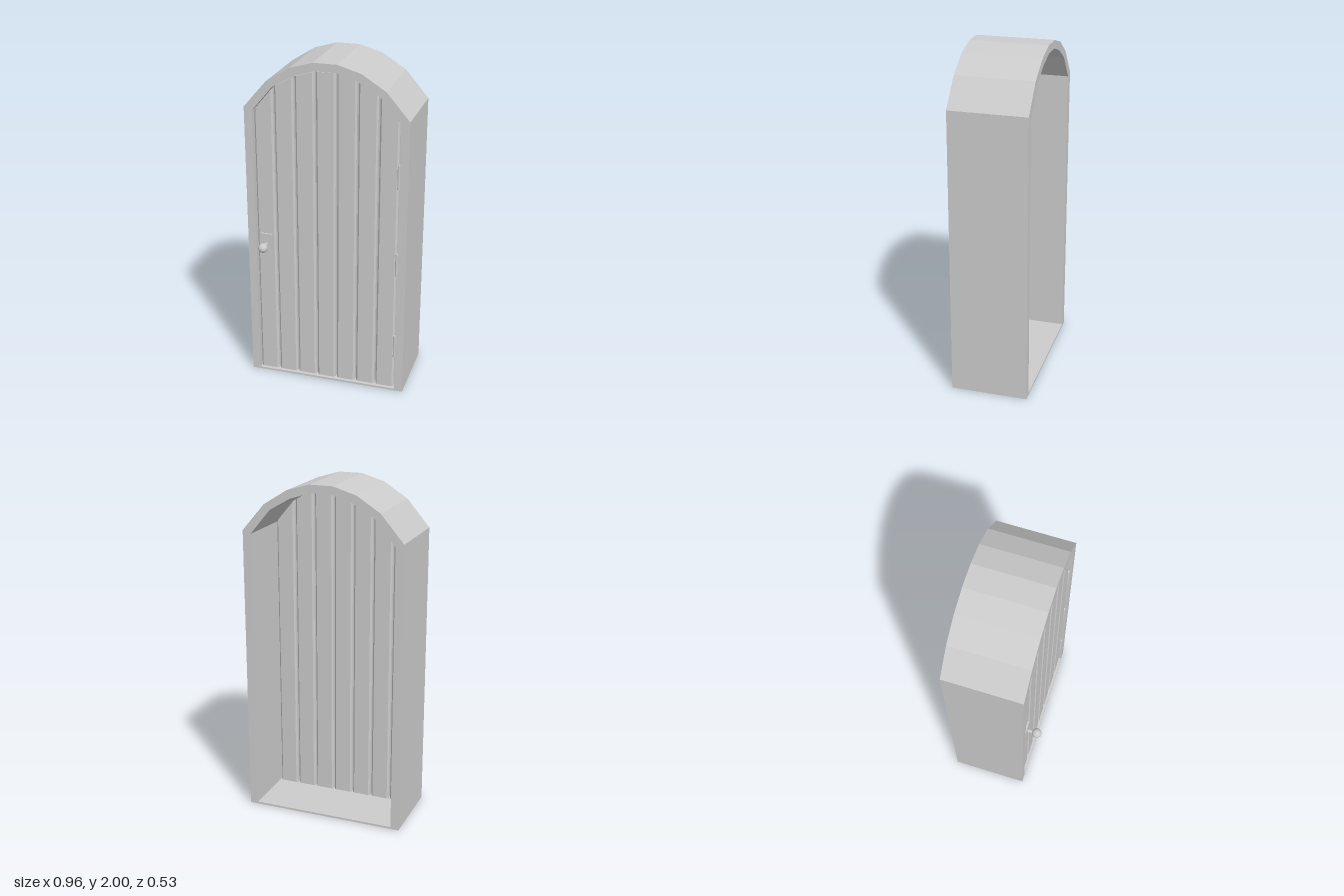
import * as THREE from 'three';

const material = new THREE.MeshStandardMaterial({ color: 0xcccccc, flatShading: true });
const smooth = new THREE.MeshStandardMaterial({ color: 0xcccccc });

const BACK = -0.27, FRONT = 0.185;           // frame depth
const DOOR_BACK = 0.055, DOOR_FRONT = 0.17;  // door leaf depth
const DOOR_MID = (DOOR_BACK + DOOR_FRONT) / 2;

// right half of each arch, from springing to crown
const OUTER = [[0.48, 1.715], [0.345, 1.872], [0.205, 1.96], [0.069, 2.0]];
const INNER = [[0.431, 1.697], [0.309, 1.843], [0.184, 1.915], [0.062, 1.953]];

function add(parent, name, geometry, mat = material) {
  const mesh = new THREE.Mesh(geometry, mat);
  mesh.name = name;
  parent.add(mesh);
  return mesh;
}

// closed arched outline standing on the given floor height
function archPoints(half, floor) {
  const w = half[0][0];
  const left = half.map(([x, y]) => [-x, y]).reverse();
  return [[-w, floor], [w, floor], ...half, ...left].map(([x, y]) => new THREE.Vector2(x, y));
}

function createFrame() {
  const shape = new THREE.Shape(archPoints(OUTER, 0));
  shape.holes.push(new THREE.Path(archPoints(INNER, 0.012)));
  return new THREE.ExtrudeGeometry(shape, { depth: FRONT - BACK, bevelEnabled: false })
    .translate(0, 0, BACK);
}

// height of the arch opening at x
function archHeight(x) {
  const a = Math.abs(x);
  for (let i = 0; i < INNER.length - 1; i++) {
    const [x0, y0] = INNER[i], [x1, y1] = INNER[i + 1];
    if (a >= x1) return y0 + (y1 - y0) * (x0 - a) / (x0 - x1);
  }
  return INNER[INNER.length - 1][1];
}

// chamfered upright board whose top follows the arch
function createPlank(x0, x1) {
  const c = 0.01, f = -DOOR_FRONT, b = -DOOR_BACK;
  const section = new THREE.Shape([
    [x0 + c, f], [x1 - c, f], [x1, f + c], [x1, b - c],
    [x1 - c, b], [x0 + c, b], [x0, b - c], [x0, f + c],
  ].map(([x, y]) => new THREE.Vector2(x, y)));
  const geo = new THREE.ExtrudeGeometry(section, { depth: 1, bevelEnabled: false }).rotateX(-Math.PI / 2);
  // rotated section: shape y becomes -z, extrusion becomes y
  const pos = geo.attributes.position;
  const y0 = archHeight(x0), y1 = archHeight(x1);
  for (let i = 0; i < pos.count; i++) {
    const t = (pos.getX(i) - x0) / (x1 - x0);
    const top = y0 + (y1 - y0) * t - 0.006;
    pos.setY(i, pos.getY(i) > 0.5 ? top : 0.016);
    pos.setZ(i, pos.getZ(i));
  }
  geo.computeVertexNormals();
  return geo;
}

// plate, stem and ball on one face of the door
function createHandle(name) {
  const handle = new THREE.Group();
  handle.name = name;
  const half = (DOOR_FRONT - DOOR_BACK) / 2;
  add(handle, 'handlePlate', new THREE.BoxGeometry(0.075, 0.135, 0.012)).position.z = half + 0.004;
  add(handle, 'handleStem', new THREE.CylinderGeometry(0.011, 0.011, 0.07, 12).rotateX(Math.PI / 2), smooth)
    .position.z = half + 0.035;
  add(handle, 'handleKnob', new THREE.SphereGeometry(0.029, 14, 10).rotateX(Math.PI / 2), smooth)
    .position.z = 0.236 - DOOR_MID;
  handle.position.set(-0.371, 0.87, DOOR_MID);
  return handle;
}

export function createModel() {
  const model = new THREE.Group();
  model.name = 'archedDoor';

  add(model, 'frame', createFrame());

  // seven boards with narrow open gaps
  const door = new THREE.Group();
  door.name = 'door';
  model.add(door);
  const pitch = 0.1222, gap = 0.009, count = 7, shift = -0.003;
  for (let i = 0; i < count; i++) {
    const x = (i - (count - 1) / 2) * pitch + shift;
    const w = (pitch - gap) / 2;
    add(door, 'plank' + (i + 1), createPlank(x - w, x + w));
  }

  // handles on both faces
  const backHandle = createHandle('backHandle');
  backHandle.rotation.y = Math.PI;
  door.add(createHandle('frontHandle'), backHandle);

  // hinge barrels along the left jamb
  for (const y of [0.3, 0.84, 1.385]) {
    add(model, 'hinge', new THREE.CylinderGeometry(0.008, 0.008, 0.145, 10), smooth)
      .position.set(0.422, y, DOOR_FRONT);
  }
  return model;
}
